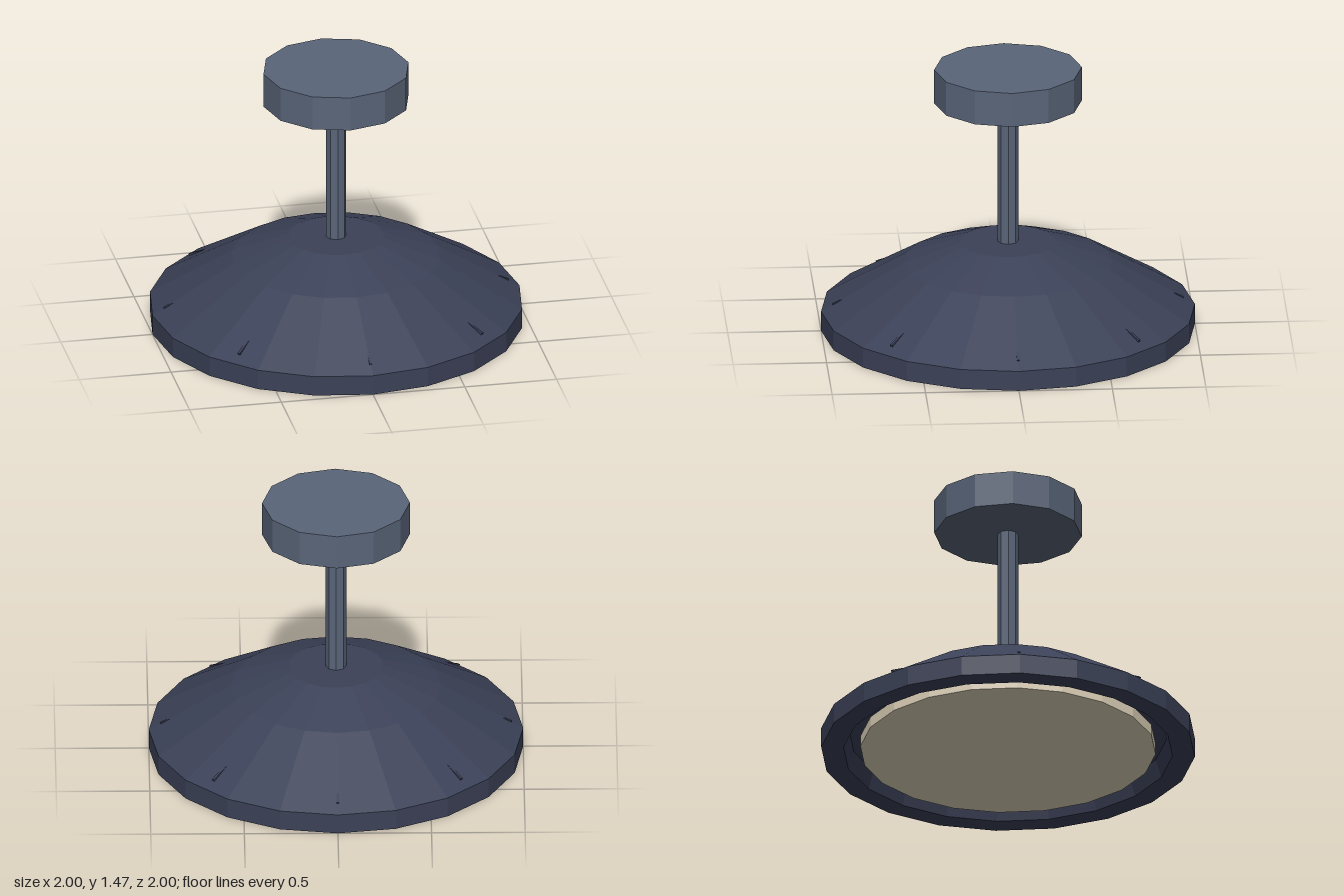
import * as THREE from 'three';

export function createModel() {
  const lamp = new THREE.Group();
  lamp.name = 'pendantLamp';

  const flat = (name, color) => new THREE.MeshStandardMaterial({ name, color, flatShading: true });
  const navy = flat('navy enamel', 0x3b4157);
  const steel = flat('slate metal', 0x5a6579);
  const cream = flat('cream diffuser', 0xe2d6bd);

  function add(name, geometry, material, y = 0) {
    const mesh = new THREE.Mesh(geometry, material);
    mesh.name = name;
    mesh.position.y = y;
    lamp.add(mesh);
    return mesh;
  }

  // Hollow shade: inner wall, bottom lip, rim band, sloping top
  const profile = [
    [0, 0.4], [0.5, 0.32], [0.85, 0.1], [0.88, 0],
    [1, 0], [1, 0.11], [0.56, 0.375], [0.255, 0.49], [0, 0.49],
  ].map(([r, y]) => new THREE.Vector2(r, y));
  add('shade', new THREE.LatheGeometry(profile, 20), navy);

  // Diffuser disc in the mouth of the shade
  add('diffuser', new THREE.CylinderGeometry(0.79, 0.79, 0.06, 20), cream, 0.04);

  // Stem and ceiling canopy
  add('stem', new THREE.CylinderGeometry(0.055, 0.055, 0.84, 8), steel, 0.87);
  add('canopy', new THREE.CylinderGeometry(0.395, 0.395, 0.19, 12), steel, 1.375);

  // Eight thin ribs whose outer ends just break through the slope
  const rib = new THREE.Shape([
    [0.6, 0.3], [0.83, 0.205], [0.94, 0.153], [0.925, 0.12], [0.6, 0.27],
  ].map(([x, y]) => new THREE.Vector2(x, y)));
  const ribGeometry = new THREE.ExtrudeGeometry(rib, { depth: 0.014, bevelEnabled: false });
  ribGeometry.translate(0, 0, -0.007);
  for (let i = 0; i < 8; i++) {
    add('rib', ribGeometry, navy).rotation.y = (i * Math.PI) / 4;
  }

  return lamp;
}
